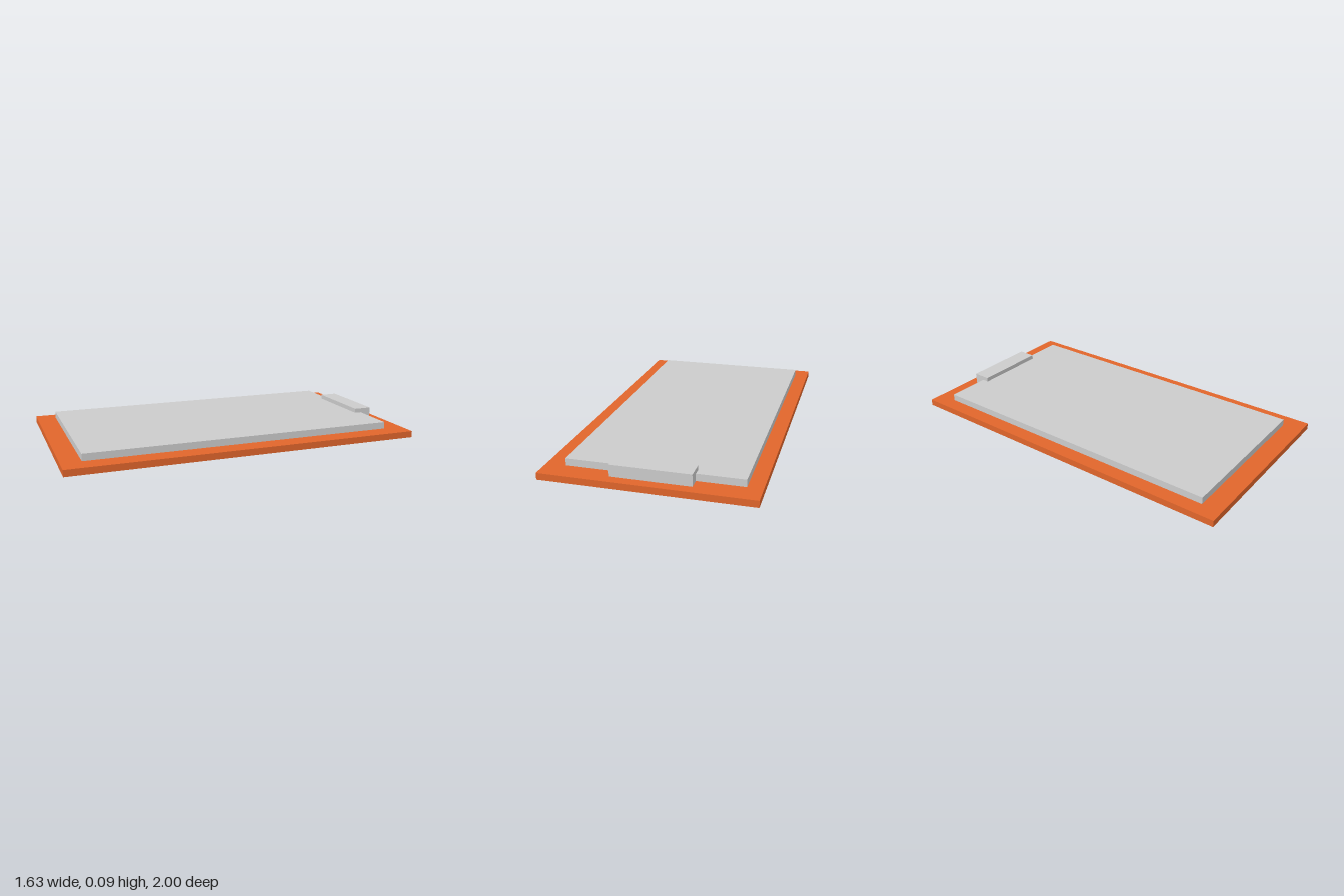
import * as THREE from 'three';

export function createModel() {
  const model = new THREE.Group();
  model.name = 'clipboard';

  const orange = new THREE.MeshStandardMaterial({ color: 0xe0652b });
  const grey = new THREE.MeshStandardMaterial({ color: 0xcccccc });

  // A flat slab from height y0 to y1, centred on (x, z)
  const slab = (name, material, width, length, y0, y1, x = 0, z = 0) => {
    const mesh = new THREE.Mesh(new THREE.BoxGeometry(width, y1 - y0, length), material);
    mesh.name = name;
    mesh.position.set(x, (y0 + y1) / 2, z);
    model.add(mesh);
  };

  // Backing board, paper stack, and the clip gripping its top edge
  slab('board', orange, 0.98, 1.75, 0, 0.032);
  slab('paper', grey, 0.816, 1.55, 0.032, 0.066, -0.011, 0.004);
  slab('clip', grey, 0.373, 0.09, 0.032, 0.088, -0.014, -0.781);

  // The whole clipboard lies turned on the ground
  model.rotation.y = THREE.MathUtils.degToRad(-25);
  return model;
}
